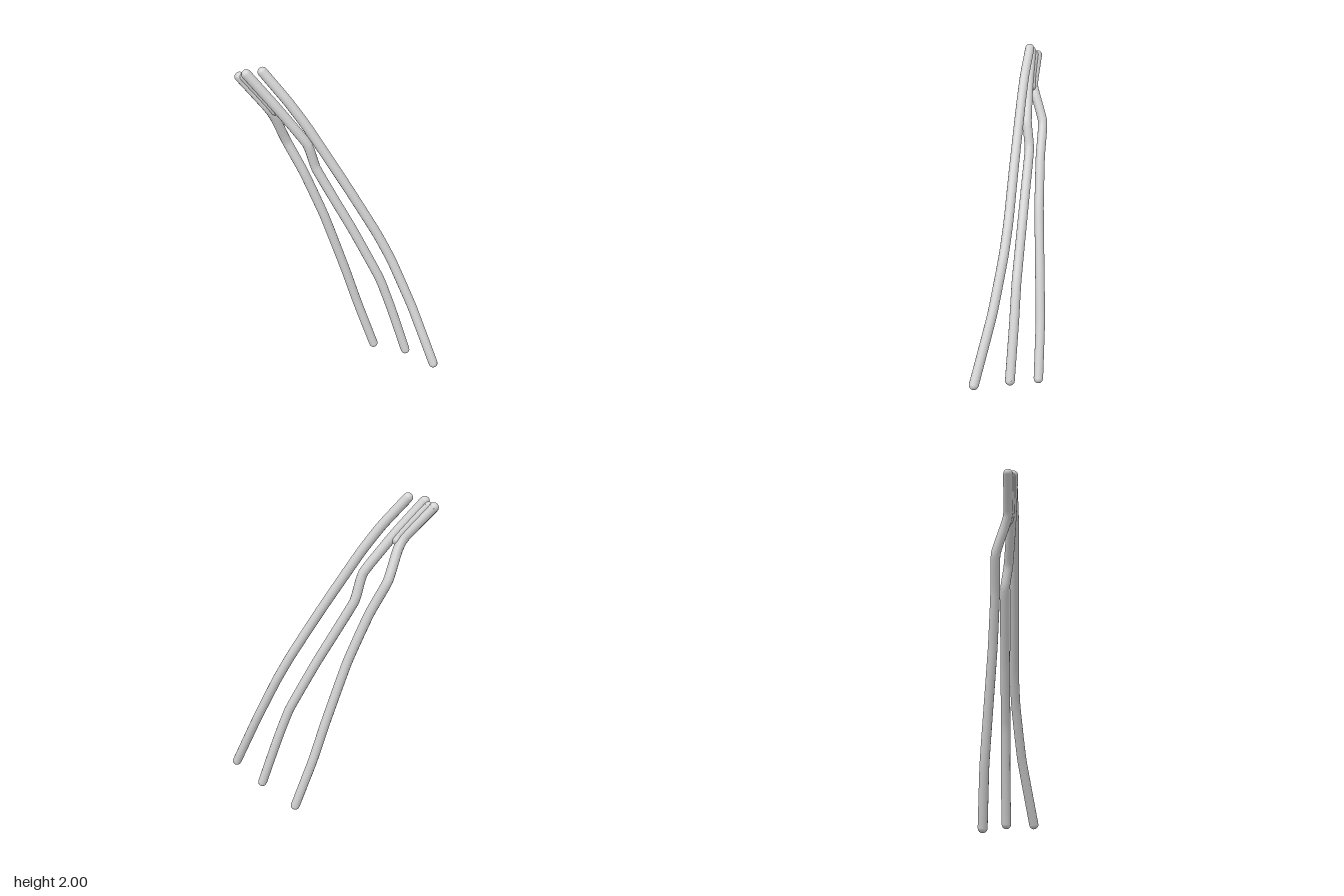
import * as THREE from 'three';

const RADIUS = 0.0285;
const SIDES = 14;

// Nearly straight runs with tight bends at the control points
const path = (pts) => new THREE.CatmullRomCurve3(pts.map((p) => new THREE.Vector3(...p)), false, 'catmullrom', 0.2);

// Round strand: a swept tube closed with a dome at each end
function makeStrand(name, pts, radius, material) {
  const group = new THREE.Group();
  group.name = name;
  const curve = path(pts);
  const tube = new THREE.Mesh(new THREE.TubeGeometry(curve, 48, radius, SIDES), material);
  tube.name = name + 'Shaft';
  group.add(tube);
  [0, 1].forEach((t) => {
    const dome = new THREE.SphereGeometry(radius, SIDES, 4, 0, Math.PI * 2, 0, Math.PI / 2);
    const cap = new THREE.Mesh(dome, material);
    cap.name = name + (t ? 'BottomCap' : 'TopCap');
    const outward = curve.getTangentAt(t).multiplyScalar(t ? 1 : -1);
    cap.quaternion.setFromUnitVectors(new THREE.Vector3(0, 1, 0), outward);
    cap.position.copy(curve.getPointAt(t));
    group.add(cap);
  });
  return group;
}

export function createModel() {
  const grey = new THREE.MeshStandardMaterial({ color: 0xd4d4d4 });
  grey.name = 'light grey';

  const model = new THREE.Group();
  model.name = 'strands';

  // Long free strand
  model.add(makeStrand('outerStrand', [
    [-0.425, 1.97, 0.195], [-0.3, 1.81, 0.14], [-0.2, 1.655, 0.09], [0, 1.3, -0.012],
    [0.16, 1.0, -0.095], [0.25, 0.82, -0.13], [0.39, 0.52, -0.16], [0.562, 0.152, -0.165],
  ], RADIUS, grey));

  // Middle strand, kinked below the join
  model.add(makeStrand('middleStrand', [
    [-0.505, 1.952, 0.24], [-0.37, 1.765, 0.16], [-0.228, 1.54, 0.065], [-0.2, 1.38, 0.025],
    [-0.1, 1.175, -0.025], [0, 0.975, -0.075], [0.15, 0.65, -0.148], [0.22, 0.43, -0.185], [0.315, 0.107, -0.228],
  ], RADIUS, grey));

  // Inner strand, bent away from the middle one
  model.add(makeStrand('innerStrand', [
    [-0.563, 1.925, 0.235], [-0.425, 1.75, 0.165], [-0.405, 1.68, 0.13], [-0.388, 1.52, 0.062],
    [-0.3, 1.32, 0.015], [-0.2, 1.02, -0.052], [-0.1, 0.62, -0.135], [-0.04, 0.36, -0.185], [0.055, 0.03, -0.243],
  ], RADIUS, grey));

  // Fused web filling the gap where the two strands join
  model.add(makeStrand('joinWeb', [
    [-0.527, 1.93, 0.234], [-0.46, 1.845, 0.198], [-0.4, 1.762, 0.163], [-0.388, 1.735, 0.15],
  ], 0.026, grey));

  return model;
}
